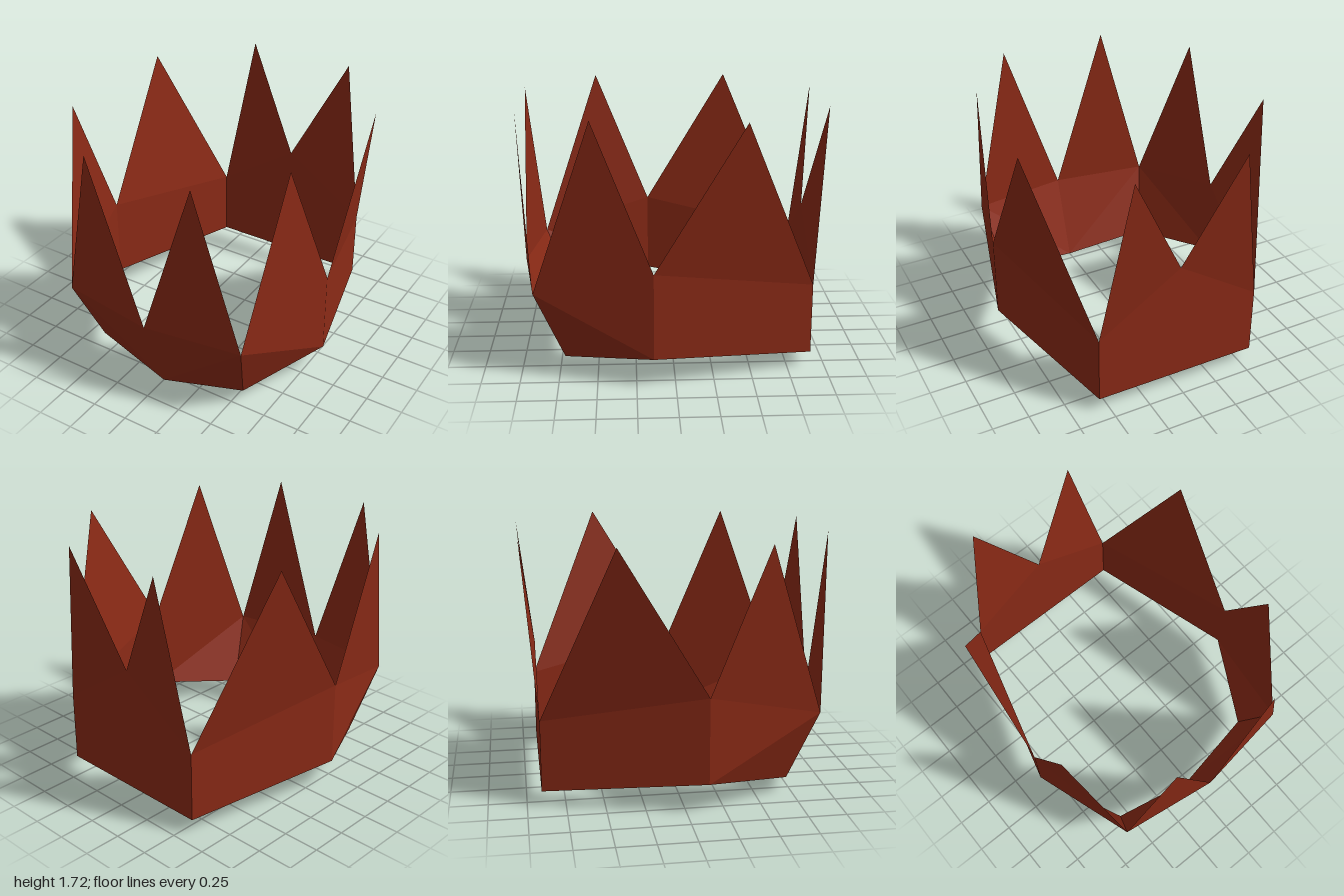
import * as THREE from 'three';

const V = (x, y, z) => new THREE.Vector3(x, y, z);

// Half of the band, front centre to back centre: lower rim and valley between spikes
const lowerHalf = [V(0, 0, 0.81), V(0.57, 0.1, 0.715), V(0.855, 0.195, 0.14), V(0.57, 0.1, -0.905), V(0, 0.1, -0.905)];
const valleyHalf = [V(0, 0.575, 1), V(0.665, 0.575, 0.905), V(0.855, 0.765, 0.14), V(0.57, 0.575, -0.905), V(0, 0.955, -0.905)];
// Spike tips, one per panel; the front left one leans inward
const tips = [
  V(0.38, 1.715, 1), V(0.76, 1.715, 0.52), V(0.855, 1.715, -0.43), V(0.38, 1.715, -1),
  V(-0.38, 1.715, -1), V(-0.855, 1.715, -0.43), V(-0.855, 1.715, 0.52), V(-0.38, 1.715, 1),
];

// Close a half ring by mirroring it across x = 0
function mirrorRing(half) {
  const back = half.slice(1, -1).reverse().map((p) => V(-p.x, p.y, p.z));
  return [...half, ...back];
}

function facets(name, points, material) {
  const geometry = new THREE.BufferGeometry().setFromPoints(points);
  geometry.computeVertexNormals();
  const mesh = new THREE.Mesh(geometry, material);
  mesh.name = name;
  return mesh;
}

export function createModel() {
  const crown = new THREE.Group();
  crown.name = 'crown';
  const material = new THREE.MeshStandardMaterial({ color: 0x8b2a16, flatShading: true, side: THREE.DoubleSide });

  const lower = mirrorRing(lowerHalf);
  const valley = mirrorRing(valleyHalf);
  const band = [];
  const spikes = [];
  tips.forEach((tip, i) => {
    const j = (i + 1) % tips.length;
    const [al, bl, au, bu] = [lower[i], lower[j], valley[i], valley[j]];
    // Band panel, with the fold alternating from panel to panel
    if (i % 2 === 0) band.push(al, bl, bu, al, bu, au);
    else band.push(al, bl, au, bl, bu, au);
    // Spike above the panel
    spikes.push(au, bu, tip);
  });

  crown.add(facets('band', band, material), facets('spikes', spikes, material));
  return crown;
}
